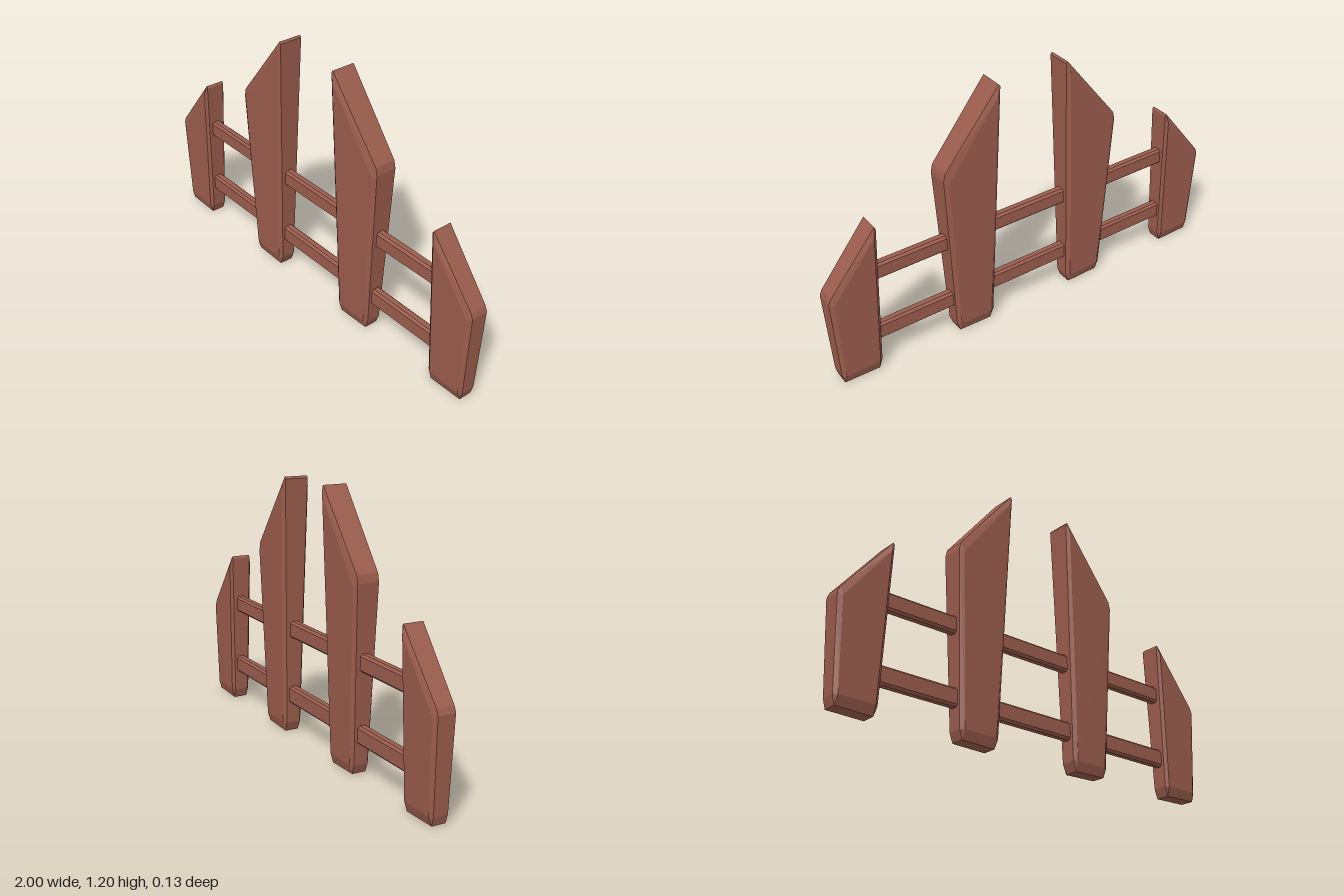
import * as THREE from 'three';
import { ConvexGeometry } from 'three/addons/geometries/ConvexGeometry.js';

// Each picket corner is chamfered into three points (x, y, half depth):
// one on the broad face, one on the narrow side, one on the end cap.
const TALL = [
  [0.225, 0.045, 0.045], [0.208, 0.045, 0.033], [0.225, 0, 0.032],
  [0.385, 0.045, 0.045], [0.402, 0.045, 0.033], [0.387, 0.004, 0.032],
  [0.425, 0.825, 0.06], [0.445, 0.835, 0.05], [0.437, 0.87, 0.05],
  [0.182, 1.15, 0.065], [0.165, 1.19, 0.055], [0.172, 1.2, 0.055],
];
const SHORT = [
  [0.8, 0.045, 0.045], [0.785, 0.045, 0.033], [0.8, 0, 0.032],
  [0.962, 0.045, 0.045], [0.978, 0.045, 0.033], [0.967, 0.004, 0.032],
  [0.978, 0.44, 0.05], [0.998, 0.45, 0.04], [0.988, 0.475, 0.04],
  [0.777, 0.7, 0.055], [0.762, 0.735, 0.045], [0.768, 0.745, 0.045],
];

function picket(corners, side) {
  const points = [];
  for (const [x, y, z] of corners) {
    points.push(new THREE.Vector3(side * x, y, z), new THREE.Vector3(side * x, y, -z));
  }
  return new ConvexGeometry(points);
}

// Long bar with an eight-sided chamfered section
function rail(length, height, depth, chamfer) {
  const h = height / 2, d = depth / 2, points = [];
  for (const x of [-length / 2, length / 2])
    for (const sy of [-1, 1])
      for (const sz of [-1, 1]) {
        points.push(new THREE.Vector3(x, sy * h, sz * (d - chamfer)));
        points.push(new THREE.Vector3(x, sy * (h - chamfer), sz * d));
      }
  return new ConvexGeometry(points);
}

export function createModel() {
  const fence = new THREE.Group();
  fence.name = 'fence';
  const wood = new THREE.MeshStandardMaterial({ color: 0x9a5c4c });
  wood.name = 'reddish brown wood';

  const add = (name, geometry, y = 0) => {
    const mesh = new THREE.Mesh(geometry, wood);
    mesh.name = name;
    mesh.position.y = y;
    fence.add(mesh);
  };

  // Mirrored pairs of slanted pickets
  for (const [label, side] of [['left', 1], ['right', -1]]) {
    add(label + 'TallPicket', picket(TALL, side));
    add(label + 'ShortPicket', picket(SHORT, side));
  }

  // Horizontal rails running through all pickets
  add('lowerRail', rail(1.62, 0.082, 0.044, 0.01), 0.182);
  add('upperRail', rail(1.62, 0.078, 0.044, 0.01), 0.498);

  return fence;
}
